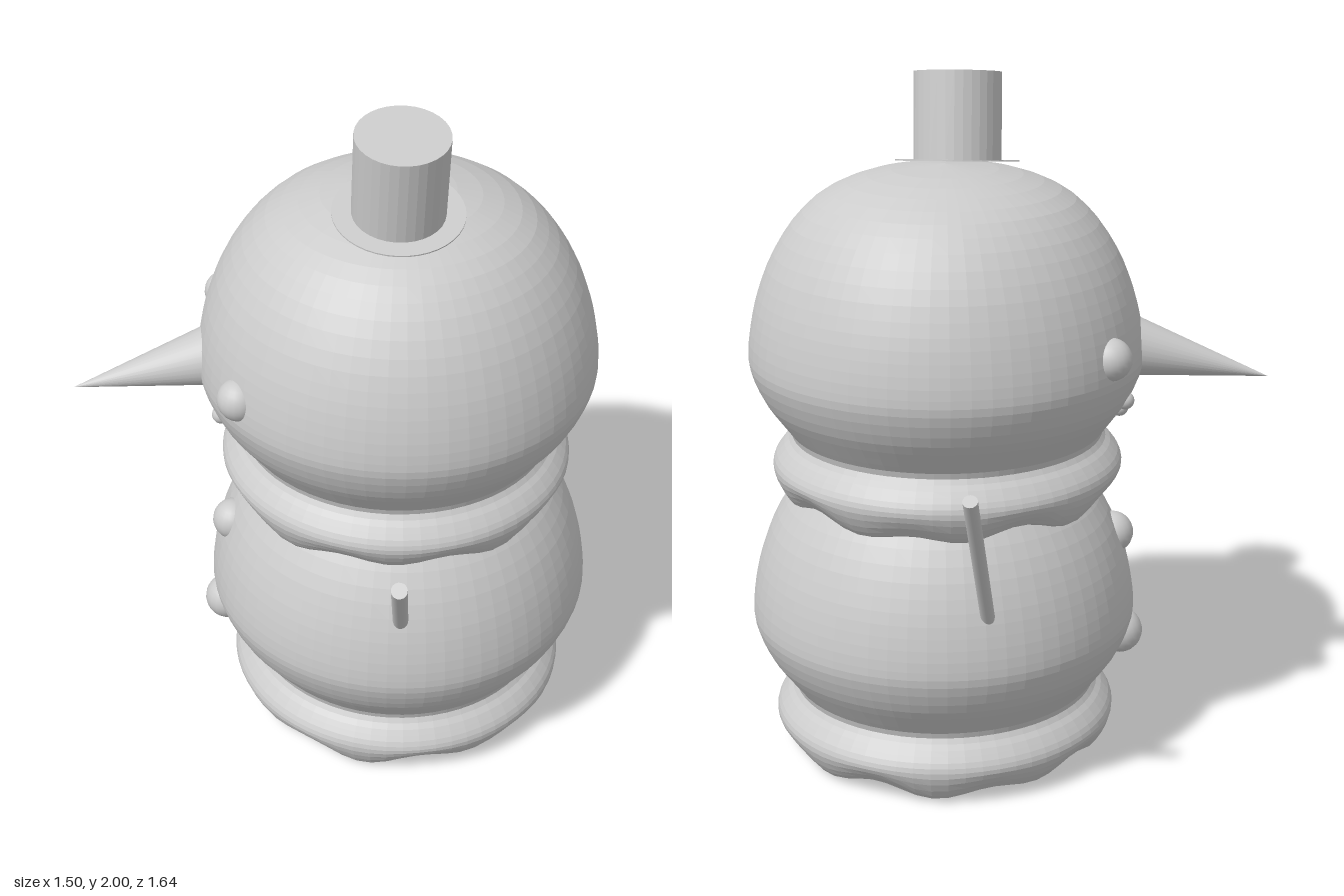
import * as THREE from 'three';

const material = new THREE.MeshStandardMaterial({ color: 0xcccccc, flatShading: true });
const smooth = new THREE.MeshStandardMaterial({ color: 0xcccccc });
const V = (x, y, z) => new THREE.Vector3(x, y, z);

function add(parent, name, geometry, mat = smooth) {
  const mesh = new THREE.Mesh(geometry, mat);
  mesh.name = name;
  parent.add(mesh);
  return mesh;
}

// Tapered rod between two points
function rod(parent, name, from, to, r0, r1, sides) {
  const mesh = add(parent, name, new THREE.CylinderGeometry(r1, r0, from.distanceTo(to), sides));
  mesh.position.copy(from).lerp(to, 0.5);
  mesh.quaternion.setFromUnitVectors(V(0, 1, 0), to.clone().sub(from).normalize());
  return mesh;
}

function ball(parent, name, x, y, z, r) {
  add(parent, name, new THREE.SphereGeometry(r, 20, 14)).position.set(x, y, z);
}

// Bell-shaped snowball: round dome, pinched waist and a flared, wavy hem
function snowball(phase) {
  const profile = [
    [0, 0.07], [0.2, 0.065], [0.36, 0.045], [0.44, 0.022], [0.475, 0.045], [0.505, 0.095],
    [0.503, 0.13], [0.478, 0.165], [0.45, 0.2], [0.482, 0.25], [0.53, 0.32], [0.562, 0.4],
    [0.565, 0.46], [0.553, 0.54], [0.53, 0.625], [0.488, 0.725], [0.42, 0.825],
    [0.33, 0.9], [0.19, 0.95], [0, 0.972],
  ].map(([r, y]) => new THREE.Vector2(r, y));
  const points = new THREE.SplineCurve(profile).getPoints(48);
  points.forEach((p) => { p.x = Math.max(p.x, 0); });
  const geometry = new THREE.LatheGeometry(points, 64);
  const pos = geometry.attributes.position;
  for (let i = 0; i < pos.count; i++) {
    const x = pos.getX(i), y = pos.getY(i), z = pos.getZ(i);
    const a = Math.atan2(z, x) + phase;
    const weight = THREE.MathUtils.clamp((0.12 - y) / 0.08, 0, 1)
      * THREE.MathUtils.smoothstep(Math.hypot(x, z), 0.2, 0.42);
    pos.setY(i, y + weight * (0.013 * Math.sin(9 * a) + 0.008 * Math.sin(5 * a + 1)));
  }
  geometry.computeVertexNormals();
  return geometry;
}

export function createModel() {
  const group = new THREE.Group();
  group.name = 'snowman';

  // Two stacked snowballs
  add(group, 'body', snowball(0), material).position.set(0.18, 0, 0.01);
  add(group, 'head', snowball(0.9), material).position.set(0.165, 0.775, 0.01);

  // Hat tipped to one side, with a thin brim
  const hat = new THREE.Group();
  hat.name = 'hat';
  hat.position.set(0.14, 1.732, 0.138);
  hat.rotation.x = THREE.MathUtils.degToRad(10);
  const crown = new THREE.CylinderGeometry(0.126, 0.126, 0.25, 32);
  add(hat, 'hatCrown', crown.translate(0, 0.125, 0), material);
  add(hat, 'hatBrim', new THREE.CylinderGeometry(0.178, 0.178, 0.004, 40), material);
  group.add(hat);

  // Face, looking toward -x
  rod(group, 'nose', V(-0.29, 1.245, 0.006), V(-0.755, 1.145, 0), 0.103, 0, 32);
  for (const side of [-1, 1]) ball(group, 'eye', -0.305, 1.265, 0.005 + side * 0.275, 0.06);
  for (const [y, z] of [[1.1, -0.11], [1.06, -0.045], [1.06, 0.06], [1.1, 0.115]]) {
    const r = y > 1.08 ? 0.525 : 0.5;
    ball(group, 'mouthPebble', 0.165 - Math.sqrt(r * r - z * z), y, z, 0.026);
  }

  // Buttons
  ball(group, 'upperButton', -0.32, 0.65, 0.025, 0.062);
  ball(group, 'lowerButton', -0.347, 0.34, 0.015, 0.068);

  // Stick arms
  rod(group, 'leftArm', V(0.121, 0.575, 0.47), V(0.062, 1.0, 0.8), 0.022, 0.022, 16);
  rod(group, 'rightArm', V(0.017, 0.575, -0.48), V(0.042, 1.045, -0.802), 0.02, 0.02, 16);

  return group;
}
